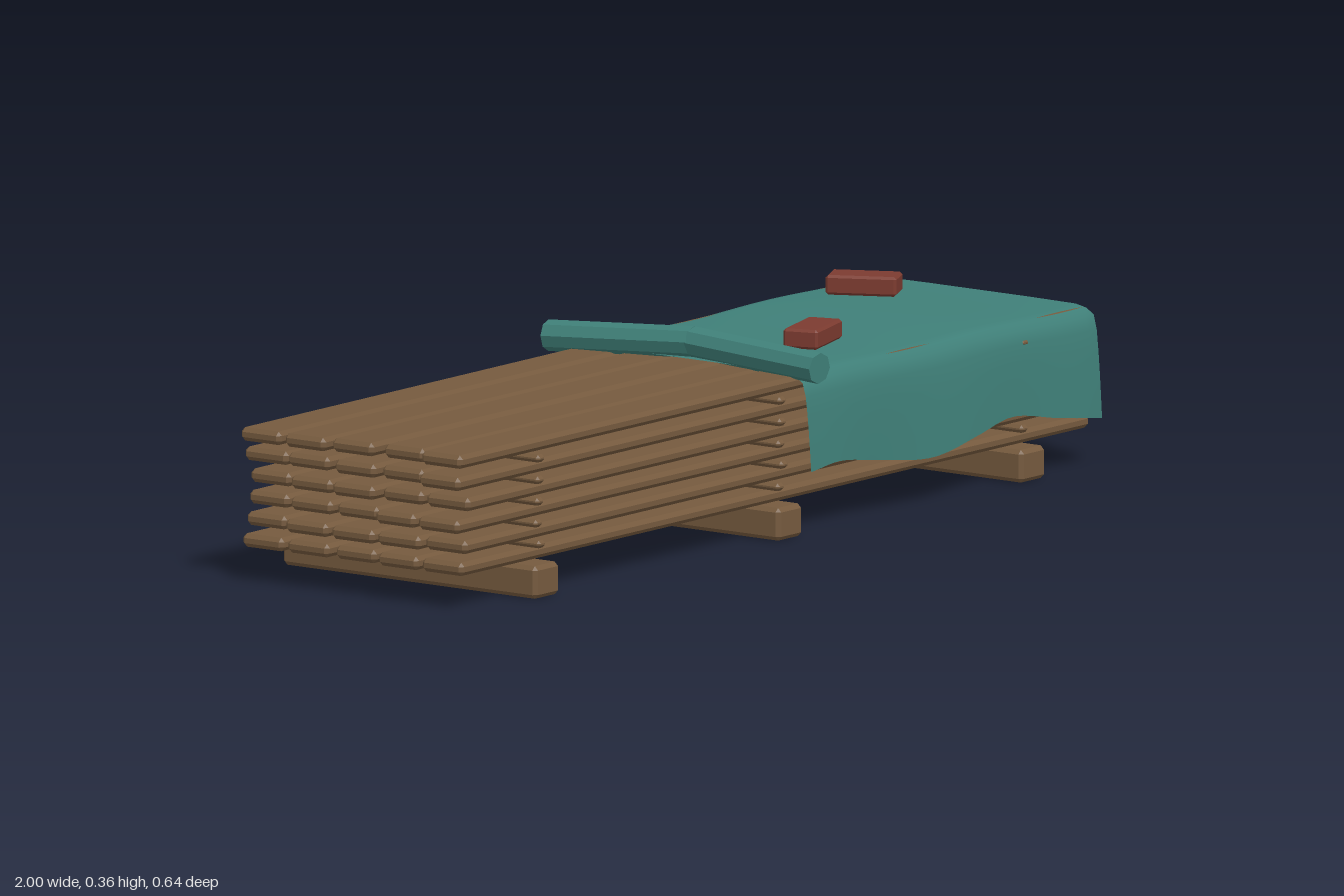
import * as THREE from 'three';
import { ConvexGeometry } from 'three/addons/geometries/ConvexGeometry.js';

const wood = new THREE.MeshStandardMaterial({ color: 0x755a3e, flatShading: true });
wood.name = 'weathered wood';
const cloth = new THREE.MeshStandardMaterial({ color: 0x3f7f78, side: THREE.DoubleSide });
cloth.name = 'tarp cloth';
const rollCloth = new THREE.MeshStandardMaterial({ color: 0x3f7f78, flatShading: true });
rollCloth.name = 'rolled tarp cloth';
const clay = new THREE.MeshStandardMaterial({ color: 0x7c3b30, flatShading: true });
clay.name = 'brick clay';

// Small seeded generator, returns -1..1
let seed = 11;
const jitter = () => {
  seed = (seed * 16807) % 2147483647;
  return (seed / 2147483647) * 2 - 1;
};

// Box with chamfered edges
function chamferBox(w, h, d, c) {
  const pts = [];
  for (const sx of [-1, 1]) for (const sy of [-1, 1]) for (const sz of [-1, 1]) {
    const x = w / 2, y = h / 2, z = d / 2;
    pts.push(
      new THREE.Vector3(sx * x, sy * (y - c), sz * (z - c)),
      new THREE.Vector3(sx * (x - c), sy * y, sz * (z - c)),
      new THREE.Vector3(sx * (x - c), sy * (y - c), sz * z),
    );
  }
  return new ConvexGeometry(pts);
}

function add(parent, name, geometry, material, x = 0, y = 0, z = 0, yaw = 0) {
  const mesh = new THREE.Mesh(geometry, material);
  mesh.name = name;
  mesh.position.set(x, y, z);
  mesh.rotation.y = yaw;
  parent.add(mesh);
  return mesh;
}

// Draped sheet: a cross-section swept along x with wavy hems
function tarpGeometry() {
  const nx = 36, x0 = 0.06, x1 = 0.972;
  const hem = new THREE.CatmullRomCurve3([
    [0, 0.118], [0.1, 0.126], [0.25, 0.107], [0.42, 0.09], [0.58, 0.112],
    [0.7, 0.13], [0.85, 0.108], [1, 0.088],
  ].map(([t, y]) => new THREE.Vector3(t, y, 0)));
  const half = [[0, 0.304], [0.12, 0.304], [0.235, 0.303], [0.26, 0.298], [0.278, 0.287]];
  const drop = [0.15, 0.35, 0.55, 0.78, 1];
  const positions = [], index = [];
  let row = 0;
  for (let i = 0; i <= nx; i++) {
    const p = hem.getPoint(i / nx);
    const x = x0 + (x1 - x0) * p.x;
    const side = (s) => {
      const low = s > 0 ? p.y : 0.113 + 0.016 * Math.sin(p.x * 11 + 2.2);
      const ripple = 0.003 * Math.sin(p.x * 14 + s);
      const top = half.map(([z, y]) => [x, y + 0.002 * Math.sin(p.x * 12), s * z]);
      const hang = drop.map((t) => [
        x, 0.287 + (low - 0.287) * t,
        s * (0.278 + 0.018 * Math.sqrt(t) + ripple * t),
      ]);
      return top.concat(hang);
    };
    const section = side(-1).reverse().concat(side(1).slice(1));
    row = section.length;
    section.forEach((v) => positions.push(...v));
  }
  for (let i = 0; i < nx; i++) for (let j = 0; j < row - 1; j++) {
    const a = i * row + j, b = a + row;
    index.push(a, a + 1, b, b, a + 1, b + 1);
  }
  const g = new THREE.BufferGeometry();
  g.setAttribute('position', new THREE.Float32BufferAttribute(positions, 3));
  g.setIndex(index);
  g.computeVertexNormals();
  return g;
}

// Cylinder laid between two points
function rod(parent, name, a, b, radius) {
  const dir = b.clone().sub(a);
  const mesh = add(parent, name, new THREE.CylinderGeometry(radius, radius, dir.length(), 8), rollCloth);
  mesh.position.copy(a).add(b).multiplyScalar(0.5);
  mesh.quaternion.setFromUnitVectors(new THREE.Vector3(0, 1, 0), dir.normalize());
}

export function createModel() {
  const model = new THREE.Group();
  model.name = 'coveredLumberStack';

  // Ground bearers
  const bearer = chamferBox(0.078, 0.063, 0.605, 0.008);
  [-0.77, -0.008, 0.753].forEach((x) => add(model, 'bearer', bearer, wood, x, 0.0315, 0));

  // Plank layers with sticks between them
  const stack = new THREE.Group();
  stack.name = 'plankStack';
  model.add(stack);
  const stick = chamferBox(0.024, 0.015, 0.572, 0.006);
  const topStarts = [-0.998, -0.998, -0.985, -0.973, -0.988];
  const frontStarts = [-0.985, -0.974, -0.998, -0.975, -0.997];
  for (let layer = 0; layer < 6; layer++) {
    const y = 0.078 + layer * 0.0414;
    for (let i = 0; i < 5; i++) {
      const length = 1.963 + jitter() * 0.012;
      let start = -0.984 + jitter() * 0.013;
      if (layer === 5) start = topStarts[i];
      else if (i === 4) start = frontStarts[layer];
      const width = 0.099 + jitter() * 0.005;
      const z = (i - 2) * 0.1075 + jitter() * 0.004;
      const x = Math.min(start + length / 2, 0.998 - length / 2);
      add(stack, 'plank', chamferBox(length, 0.026, width, 0.008), wood, x, y, z, jitter() * 0.004);
    }
    if (layer < 5) {
      [-0.768, -0.01, 0.752].forEach((x) =>
        add(stack, 'spacerStick', stick, wood, x + jitter() * 0.006, y + 0.0207, 0));
    }
  }

  // Tarp and its rolled-back edge
  add(model, 'tarp', tarpGeometry(), cloth);
  const roll = new THREE.Group();
  roll.name = 'tarpRoll';
  model.add(roll);
  const middle = new THREE.Vector3(0.085, 0.332, 0);
  rod(roll, 'rollFront', new THREE.Vector3(0.06, 0.32, 0.318), middle, 0.03);
  rod(roll, 'rollBack', new THREE.Vector3(0.048, 0.315, -0.318), middle, 0.03);

  // Bricks weighing the tarp down
  const brick = chamferBox(0.137, 0.038, 0.07, 0.005);
  add(model, 'brick', brick, clay, 0.31, 0.328, 0.112, 0.29);
  add(model, 'brick', brick, clay, 0.787, 0.328, -0.128, -1.11);

  return model;
}
